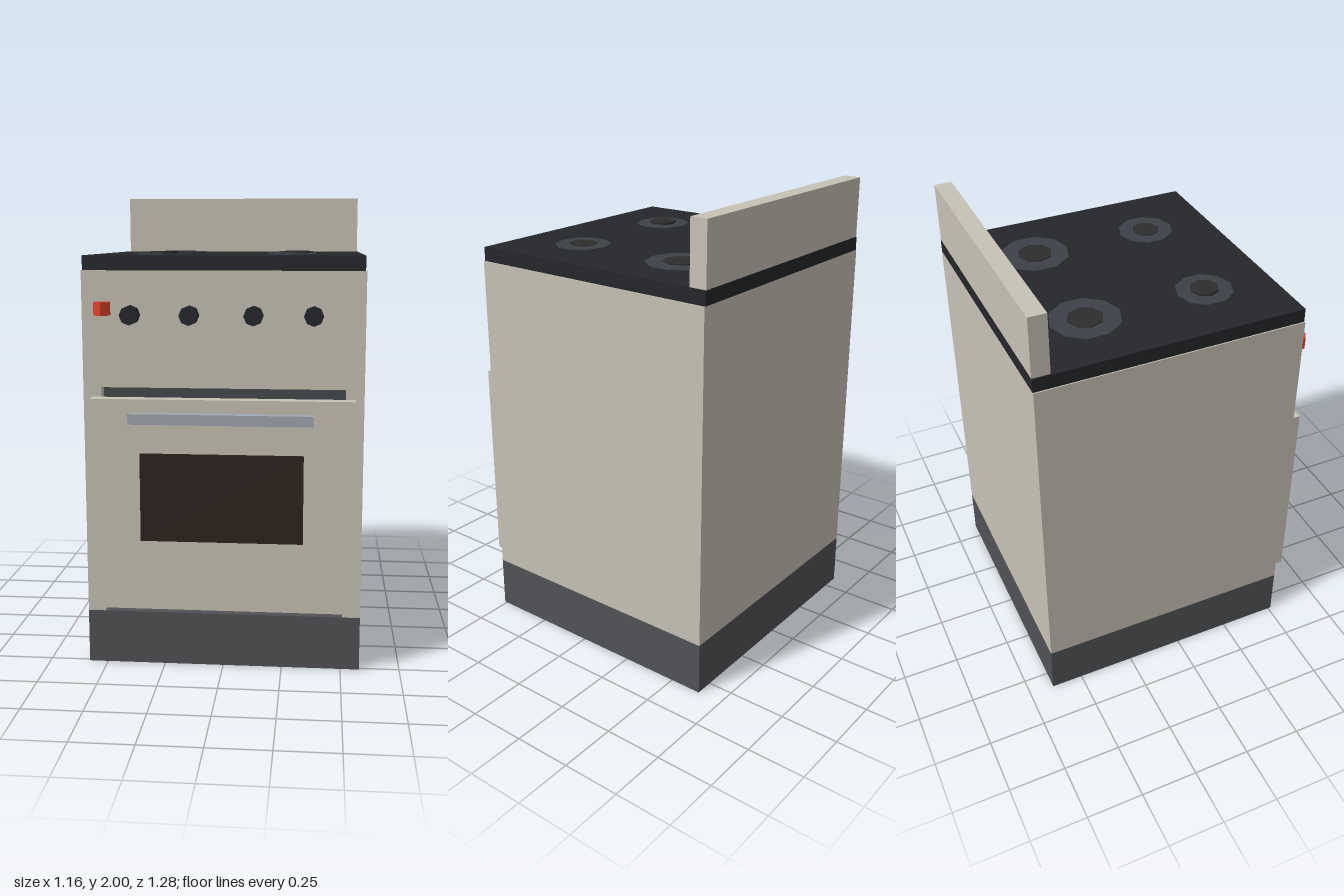
import * as THREE from 'three';

const mat = (color) => new THREE.MeshStandardMaterial({ color, flatShading: true });

export function createModel() {
  const cooker = new THREE.Group();
  cooker.name = 'cooker';
  const enamel = mat(0xc8c2b5), plinthGrey = mat(0x515256), black = mat(0x24262a);
  const lining = mat(0x44494d), steel = mat(0xa0a6b0), glass = mat(0x2f221d);
  const plateGrey = mat(0x3d4048), capGrey = mat(0x2d2d2d), red = mat(0xdb412a);

  const add = (name, geometry, material) => {
    const mesh = new THREE.Mesh(geometry, material);
    mesh.name = name;
    cooker.add(mesh);
    return mesh;
  };
  // Box given by its lower and upper limits on each axis
  const box = (name, material, [x0, x1], [y0, y1], [z0, z1]) => {
    const mesh = add(name, new THREE.BoxGeometry(x1 - x0, y1 - y0, z1 - z0), material);
    mesh.position.set((x0 + x1) / 2, (y0 + y1) / 2, (z0 + z1) / 2);
  };
  const back = -0.64, front = 0.513;

  // Plinth, upper housing, hob top and splashback
  box('plinth', plinthGrey, [-0.58, 0.58], [0, 0.23], [back, front]);
  box('controlHousing', enamel, [-0.58, 0.58], [1.2, 1.68], [back, front]);
  box('hobTop', black, [-0.575, 0.575], [1.68, 1.74], [back, 0.51]);
  box('splashback', enamel, [-0.57, 0.57], [1.74, 2], [back, -0.565]);

  // Oven carcass: side walls, back panel and recessed lining
  for (const s of [-1, 1]) {
    const x = [s * 0.505, s * 0.58].sort((a, b) => a - b);
    box(s > 0 ? 'leftWall' : 'rightWall', enamel, x, [0.23, 1.2], [back, front]);
  }
  box('backPanel', enamel, [-0.505, 0.505], [0.23, 1.2], [back, -0.585]);
  box('ovenLining', lining, [-0.505, 0.505], [0.23, 1.2], [-0.585, 0.46]);

  // Oven door with window and handle
  box('ovenDoor', enamel, [-0.543, 0.543], [0.265, 1.16], [front, 0.571]);
  box('doorWindow', glass, [-0.337, 0.337], [0.565, 0.935], [0.56, 0.583]);
  box('doorHandle', steel, [-0.374, 0.374], [1.067, 1.11], [0.595, 0.64]);

  // Burners: x, z, plate radius, cap radius, cap top
  for (const [x, z, r, cap, top] of [
    [-0.28, -0.31, 0.148, 0.075, 1.747],
    [0.28, -0.31, 0.148, 0.075, 1.747],
    [-0.28, 0.213, 0.12, 0.06, 1.753],
    [0.28, 0.213, 0.12, 0.06, 1.747],
  ]) {
    add('burnerPlate', new THREE.CylinderGeometry(r, r, 0.013, 10), plateGrey).position.set(x, 1.737, z);
    add('burnerCap', new THREE.CylinderGeometry(cap, cap, 0.02, 8), capGrey).position.set(x, top - 0.01, z);
  }

  // Control knobs and the red upright knob
  for (const x of [-0.377, -0.134, 0.128, 0.371]) {
    const knob = add('controlKnob', new THREE.CylinderGeometry(0.04, 0.04, 0.05, 8), black);
    knob.rotation.x = Math.PI / 2;
    knob.position.set(x, 1.5, 0.535);
  }
  add('redKnob', new THREE.CylinderGeometry(0.036, 0.036, 0.054, 6), red).position.set(-0.488, 1.527, 0.55);

  return cooker;
}
